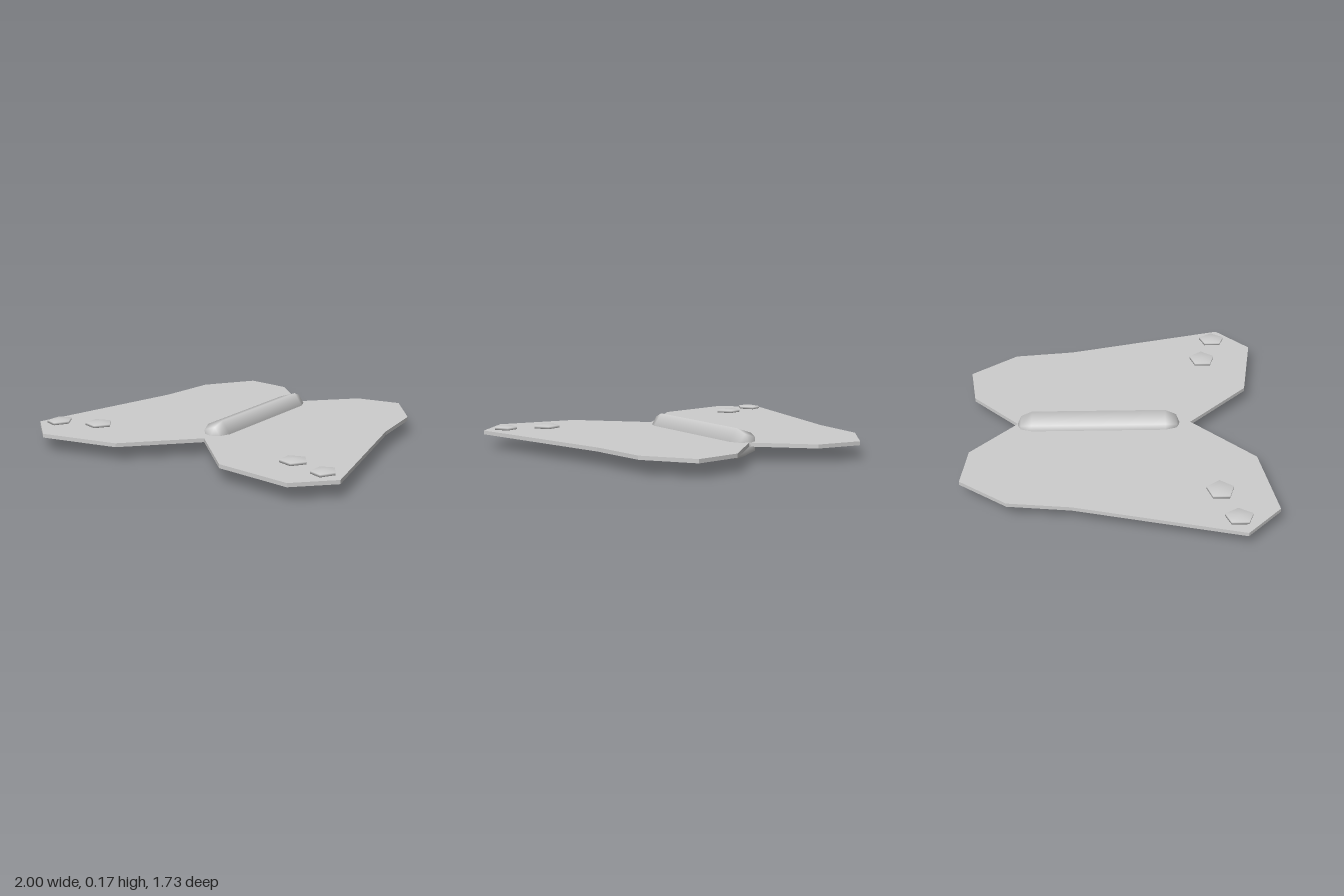
import * as THREE from 'three';

const grey = new THREE.MeshStandardMaterial({ color: 0xcccccc });
grey.name = 'light grey';

// Half outline of the wings as [x, z], from the rear notch round to the front notch
const outline = [
  [0, -0.565], [0.27, -0.83], [0.535, -0.865], [0.73, -0.6], [0.77, -0.25],
  [1, 0.67], [0.805, 0.86], [0.345, 0.785], [0, 0.435],
];

// One flat wing; side is 1 for left, -1 for right
function makeWing(side) {
  const shape = new THREE.Shape(outline.map(([x, z]) => new THREE.Vector2(side * x, -z)));
  const geometry = new THREE.ExtrudeGeometry(shape, { depth: 0.022, bevelEnabled: false });
  geometry.rotateX(-Math.PI / 2);
  const wing = new THREE.Mesh(geometry, grey);
  wing.position.y = 0.079;
  return wing;
}

// Squashed five-sided sphere with one point towards +x
function makeSpot(x, z, rx, rz) {
  const geometry = new THREE.SphereGeometry(1, 5, 3);
  geometry.rotateY(Math.PI);
  const ring = Math.sin(Math.PI / 3);
  geometry.scale(rx / ring, 0.014, rz / ring);
  const spot = new THREE.Mesh(geometry, grey);
  spot.position.set(x, 0.113, z);
  return spot;
}

export function createModel() {
  const model = new THREE.Group();
  model.name = 'butterfly';

  for (const side of [1, -1]) {
    const label = side > 0 ? 'left' : 'right';
    const wing = makeWing(side);
    wing.name = label + 'Wing';
    const innerSpot = makeSpot(side * 0.655, 0.552, 0.078, 0.078);
    innerSpot.name = label + 'InnerSpot';
    const outerSpot = makeSpot(side * 0.882, 0.631, 0.066, 0.079);
    outerSpot.name = label + 'OuterSpot';
    model.add(wing, innerSpot, outerSpot);
  }

  // Five-sided capsule lying along z
  const bodyGeometry = new THREE.CapsuleGeometry(0.09, 0.77, 2, 5, 1);
  bodyGeometry.rotateY(Math.PI);
  bodyGeometry.rotateX(Math.PI / 2);
  bodyGeometry.scale(0.97, 1, 1);
  const body = new THREE.Mesh(bodyGeometry, grey);
  body.name = 'body';
  body.position.set(-0.005, 0.0865, -0.097);
  model.add(body);

  return model;
}
